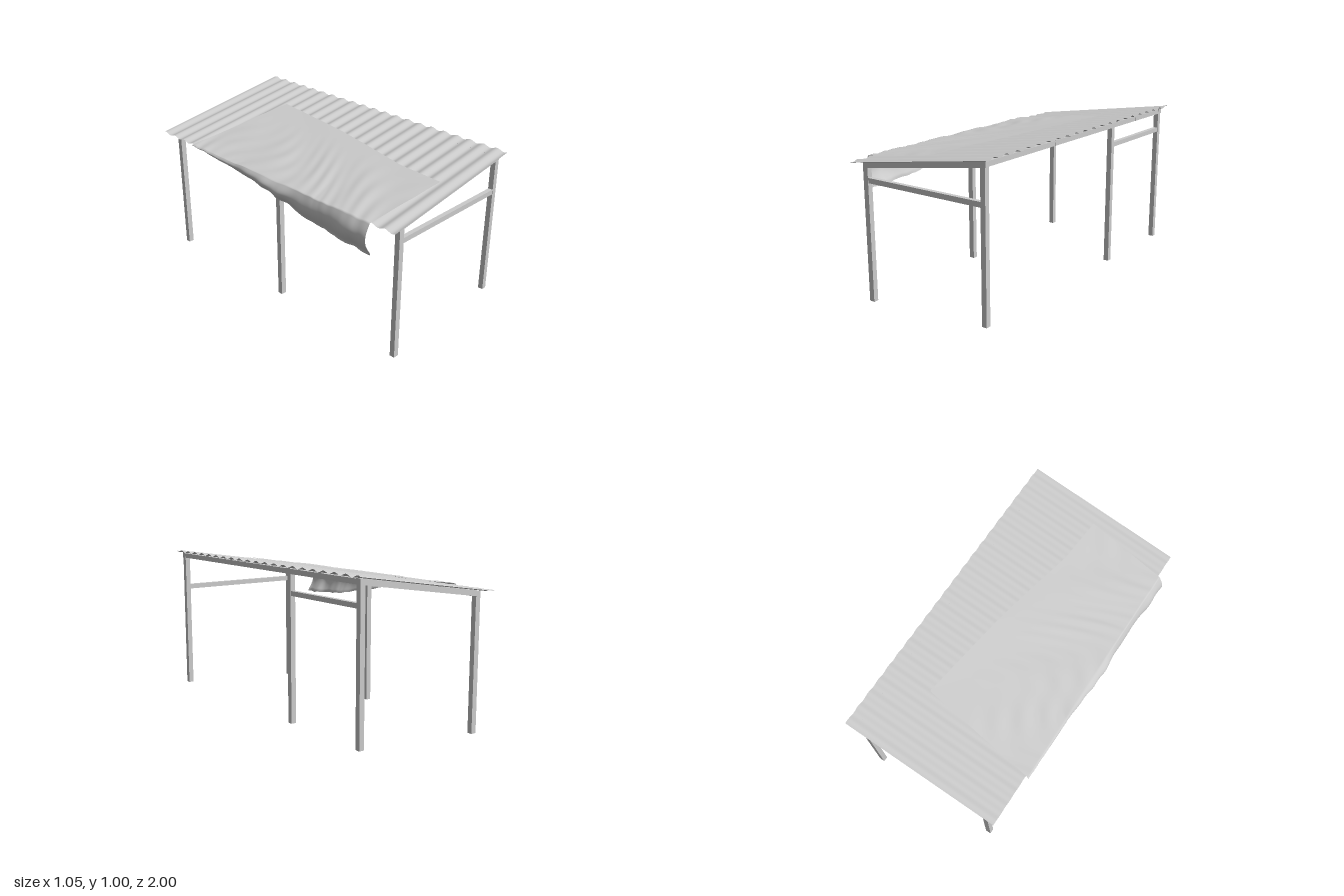
import * as THREE from 'three';

const material = new THREE.MeshStandardMaterial({ color: 0xcccccc });
const sheetMaterial = new THREE.MeshStandardMaterial({ color: 0xcccccc, side: THREE.DoubleSide });

const SLOPE = 0.15;
const roofY = (x) => 0.9925 + SLOPE * (x - 0.52); // mid-height of the sloping sheet
const lerp = THREE.MathUtils.lerp;

// Box given by its minimum and maximum corners
function beam(name, [x0, y0, z0], [x1, y1, z1]) {
  const geo = new THREE.BoxGeometry(x1 - x0, y1 - y0, z1 - z0);
  const mesh = new THREE.Mesh(geo, material);
  mesh.position.set((x0 + x1) / 2, (y0 + y1) / 2, (z0 + z1) / 2);
  mesh.name = name;
  return mesh;
}

// Grid surface from a function (u, v) -> [x, y, z]
function sheet(name, nu, nv, point) {
  const pos = [], index = [];
  for (let j = 0; j <= nv; j++) {
    for (let i = 0; i <= nu; i++) pos.push(...point(i / nu, j / nv));
  }
  for (let j = 0; j < nv; j++) {
    for (let i = 0; i < nu; i++) {
      const a = j * (nu + 1) + i, b = a + 1, c = a + nu + 1, d = c + 1;
      index.push(a, c, b, b, c, d);
    }
  }
  const geo = new THREE.BufferGeometry();
  geo.setAttribute('position', new THREE.Float32BufferAttribute(pos, 3));
  geo.setIndex(index);
  geo.computeVertexNormals();
  const mesh = new THREE.Mesh(geo, sheetMaterial);
  mesh.name = name;
  return mesh;
}

// Value on a polyline of [t, value] pairs
function along(points, t) {
  for (let i = 1; i < points.length; i++) {
    const [t0, v0] = points[i - 1], [t1, v1] = points[i];
    if (t <= t1) return lerp(v0, v1, (t - t0) / (t1 - t0));
  }
  return points[points.length - 1][1];
}

// Cloth outline: upper edge on the roof and length of the overhang, back to front
const upperEdge = [[0, 0.24], [0.39, 0.165], [0.56, 0.12], [0.8, 0.05], [1, 0.03]];
const dropLength = [[0, 0.012], [0.25, 0.04], [0.46, 0.095], [0.7, 0.165], [0.88, 0.195], [1, 0.2]];
const EAVE = -0.492;

// Folds run down the slope, bend sideways and fade toward the upper edge
function wrinkle(x, z) {
  const zz = z + 0.05 * Math.sin(5 * x + 3 * z) + 0.12 * x * x;
  const fade = THREE.MathUtils.smoothstep(-x, -0.12, 0.35);
  const fine = Math.sin(47 * zz + 4 * Math.sin(6 * x + 5 * z)) * Math.sin(9 * z + 7 * x + 1);
  const broad = Math.sin(17 * zz + 3 * Math.sin(4 * x));
  return 0.0045 + fade * (0.0028 * fine + 0.0022 * broad) + 0.001 * Math.sin(11 * x + 8 * z);
}

function clothPoint(u, t) {
  const SPLIT = 0.7; // share of the grid lying on the roof
  const top = along(upperEdge, t);
  const x = u < SPLIT ? lerp(top, EAVE, u / SPLIT) : EAVE;
  const back = lerp(-0.67, -0.575, (x + 0.5) / 0.74);
  const front = lerp(0.835, 0.89, (x + 0.5) / 0.53);
  const z = lerp(back, front, t);
  const y = roofY(x) + 0.007 + Math.max(0.001, wrinkle(x, z));
  if (u <= SPLIT) return [x, y, z];
  // Overhang billows outward, then tucks back in
  const s = (u - SPLIT) / (1 - SPLIT);
  const drop = along(dropLength, t);
  const size = Math.min(1, drop / 0.12);
  const billow = (0.022 + 0.008 * Math.sin(9 * z + 1)) * Math.sin(Math.PI * Math.min(1, s * 1.1));
  const fold = 0.007 * s * Math.sin(31 * z + 2 * Math.sin(7 * z) + 3 * s);
  return [EAVE - size * (billow + fold - 0.012 * s * s) - 0.006 * Math.sin(Math.PI * s), y - drop * s, z];
}

export function createModel() {
  const model = new THREE.Group();
  model.name = 'leanToShelter';

  // Posts: the low side stands on the ground, the high side ends a little above it
  for (const z of [0.95, 0.02, -0.945]) {
    model.add(beam('lowPost', [-0.4, 0, z - 0.016], [-0.365, 0.82, z + 0.016]));
  }
  for (const z of [0.95, -0.32, -0.945]) {
    model.add(beam('highPost', [0.456, 0.066, z - 0.016], [0.488, 0.95, z + 0.016]));
  }

  // Long beams under the roof edges
  model.add(beam('lowBeam', [-0.399, 0.815, -0.962], [-0.366, 0.846, 0.966]));
  model.add(beam('highBeam', [0.457, 0.947, -0.962], [0.491, 0.977, 0.966]));

  // Bracing rails
  model.add(beam('frontRail', [-0.365, 0.73, 0.936], [0.456, 0.761, 0.964]));
  model.add(beam('sideRail', [0.458, 0.822, -0.93], [0.486, 0.85, -0.335]));

  // Sloping rafters with upright ends
  const profile = new THREE.Shape([[-0.4, 0.813], [0.492, 0.947], [0.492, 0.98], [-0.4, 0.847]]
    .map(([x, y]) => new THREE.Vector2(x, y)));
  const rafterGeo = new THREE.ExtrudeGeometry(profile, { depth: 0.032, bevelEnabled: false });
  for (const z of [0.95, 0.62, 0.32, 0, -0.32, -0.62, -0.945]) {
    const rafter = new THREE.Mesh(rafterGeo, material);
    rafter.position.z = z - 0.016;
    rafter.name = 'rafter';
    model.add(rafter);
  }

  // Corrugated roof sheet
  const WAVES = 21;
  model.add(sheet('corrugatedRoof', 1, WAVES * 12, (u, v) => {
    const x = lerp(0.52, -0.48, u);
    return [x, roofY(x) + 0.0065 * Math.sin(v * WAVES * Math.PI * 2), lerp(-1, 1, v)];
  }));

  // Wrinkled cloth draped over the low edge
  model.add(sheet('drapedCloth', 100, 220, clothPoint));

  return model;
}
